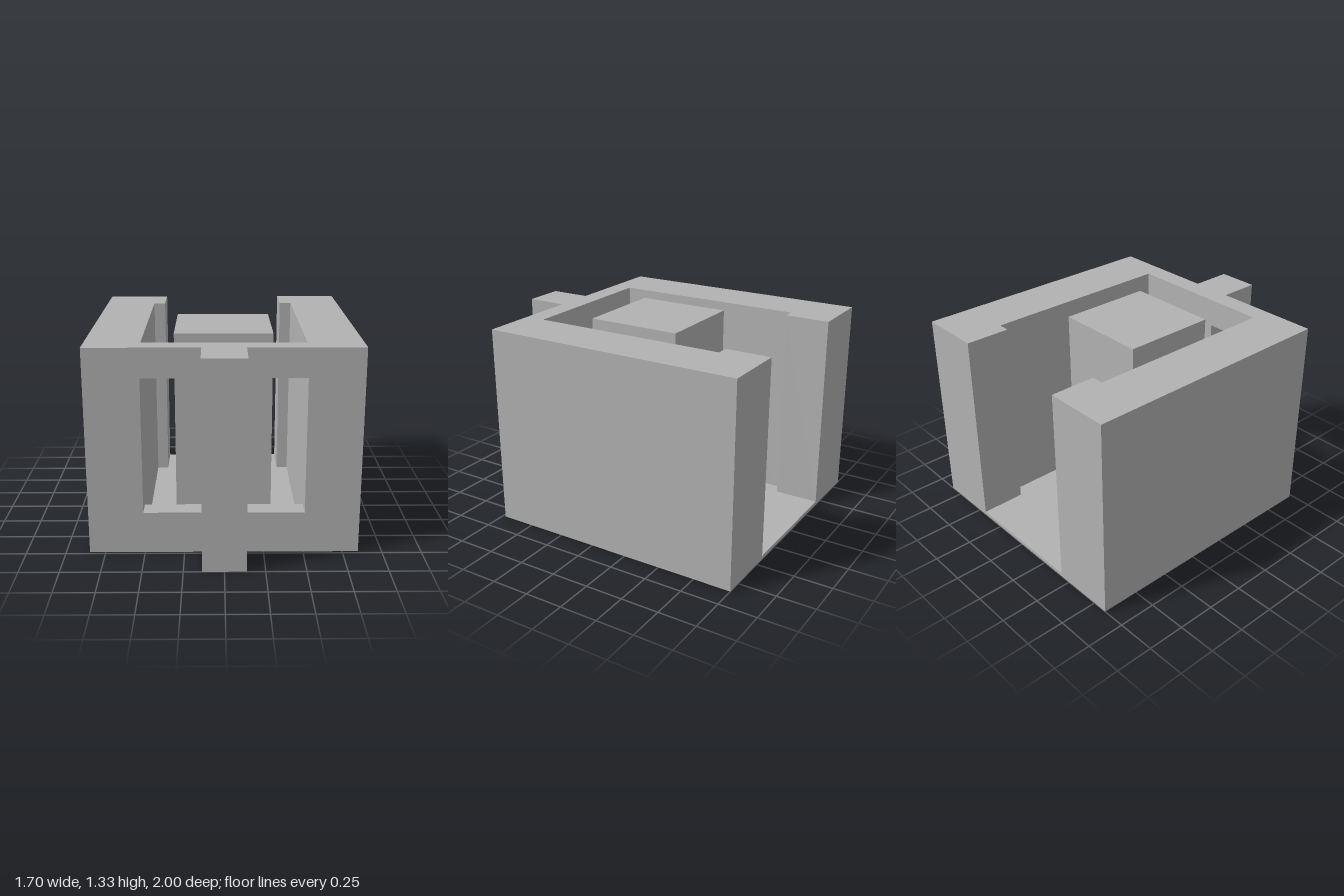
import * as THREE from 'three';

const HEIGHT = 1.327, FLOOR = 0.024;
const OUTER = 0.85, INNER = 0.505, LIP = 0.426, FIN = 0.135;
const BACK = -1, LIP_FRONT = -0.703, WALL_BACK = 0.597, WALL_FRONT = 0.729, FIN_FRONT = 1;

export function createModel() {
  const group = new THREE.Group();
  group.name = 'building';
  const concrete = new THREE.MeshStandardMaterial({ color: 0xb2b2b2 });
  concrete.name = 'concrete grey';

  const add = (name, geometry) => {
    const mesh = new THREE.Mesh(geometry, concrete);
    mesh.name = name;
    group.add(mesh);
  };

  // Axis-aligned block given by its limits
  const block = (name, x0, x1, y0, y1, z0, z1) => add(name,
    new THREE.BoxGeometry(x1 - x0, y1 - y0, z1 - z0)
      .translate((x0 + x1) / 2, (y0 + y1) / 2, (z0 + z1) / 2));

  const outline = (points) => points.map(([x, y]) => new THREE.Vector2(x, y));

  // Thin floor slab
  block('floor', -OUTER, OUTER, 0, FLOOR, BACK, WALL_BACK);

  // Side walls, each with a lip narrowing the back opening
  for (const side of [1, -1]) {
    const plan = [
      [INNER, WALL_BACK], [OUTER, WALL_BACK], [OUTER, BACK],
      [LIP, BACK], [LIP, LIP_FRONT], [INNER, LIP_FRONT],
    ].map(([x, z]) => [side * x, -z]);
    const wall = new THREE.ExtrudeGeometry(new THREE.Shape(outline(plan)),
      { depth: HEIGHT - FLOOR, bevelEnabled: false });
    add(side > 0 ? 'leftWall' : 'rightWall', wall.rotateX(-Math.PI / 2).translate(0, FLOOR, 0));
  }

  // Front wall with a tall window on each side of the fin
  const front = new THREE.Shape(outline([[-OUTER, 0], [OUTER, 0], [OUTER, HEIGHT], [-OUTER, HEIGHT]]));
  for (const side of [1, -1]) {
    front.holes.push(new THREE.Path(outline([
      [side * FIN, 0.27], [side * FIN, 1.14], [side * INNER, 1.14], [side * INNER, 0.27],
    ])));
  }
  add('frontWall', new THREE.ExtrudeGeometry(front, { depth: WALL_FRONT - WALL_BACK, bevelEnabled: false })
    .translate(0, 0, WALL_BACK));

  // Projecting fin and the free-standing core
  block('frontFin', -FIN, FIN, 0, HEIGHT, WALL_FRONT, FIN_FRONT);
  block('core', -0.315, 0.315, FLOOR, HEIGHT, -0.295, 0.341);

  return group;
}
